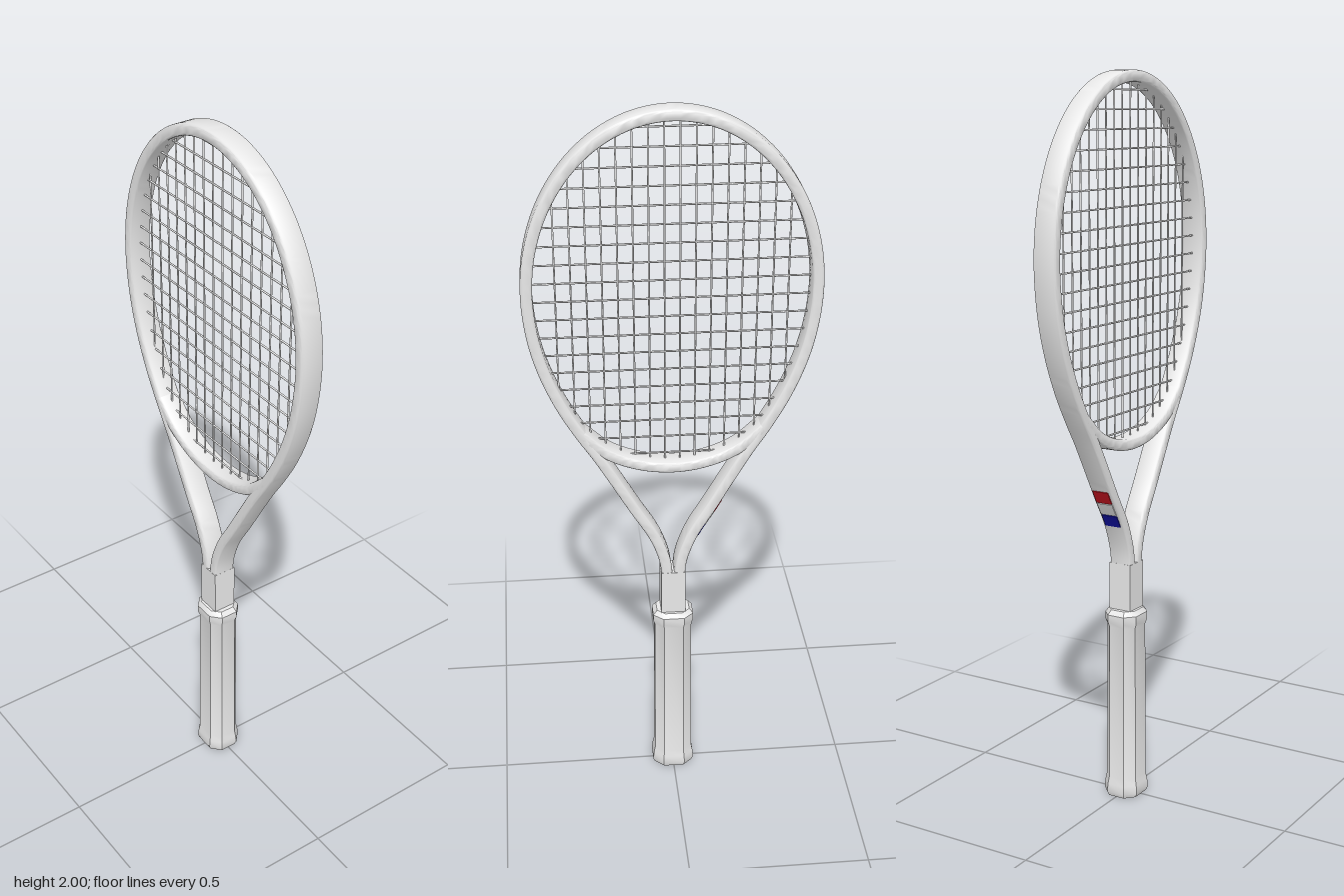
import * as THREE from 'three';
import { toCreasedNormals } from 'three/addons/utils/BufferGeometryUtils.js';

// Skin a list of equal-sized rings, with flat end caps
function loft(rings) {
  const n = rings[0].length, pos = [];
  const tri = (...pts) => pts.forEach((p) => pos.push(p.x, p.y, p.z));
  for (let i = 0; i < rings.length - 1; i++) {
    for (let j = 0; j < n; j++) {
      const k = (j + 1) % n, a = rings[i], b = rings[i + 1];
      tri(a[j], b[j], b[k]);
      tri(a[j], b[k], a[k]);
    }
  }
  const first = rings[0], last = rings[rings.length - 1];
  for (let j = 1; j < n - 1; j++) {
    tri(first[0], first[j], first[j + 1]);
    tri(last[0], last[j + 1], last[j]);
  }
  const geo = new THREE.BufferGeometry();
  geo.setAttribute('position', new THREE.Float32BufferAttribute(pos, 3));
  return toCreasedNormals(geo, 0.6);
}

// Sweep a section (x = in-plane offset, y = depth) along points in the XY plane
function sweep(points, section) {
  return loft(points.map((p, i) => {
    const a = points[Math.max(i - 1, 0)], b = points[Math.min(i + 1, points.length - 1)];
    const t = b.clone().sub(a).normalize();
    return section.map((s) => new THREE.Vector3(p.x + t.y * s.x, p.y - t.x * s.x, s.y));
  }));
}

function roundedSection(hw, hd, r) {
  const pts = [];
  [[1, 1], [-1, 1], [-1, -1], [1, -1]].forEach(([sx, sy], q) => {
    for (let i = 0; i <= 4; i++) {
      const a = (q + i / 4) * Math.PI / 2;
      pts.push(new THREE.Vector2(sx * (hw - r) + r * Math.cos(a), sy * (hd - r) + r * Math.sin(a)));
    }
  });
  return pts;
}

// Smooth curve through left-half points and their mirror images
function mirroredCurve(left, middle, count) {
  const right = left.map(([x, y]) => [-x, y]).reverse();
  const pts = [...left, ...middle, ...right].map(([x, y]) => new THREE.Vector3(x, y, 0));
  return new THREE.CatmullRomCurve3(pts).getSpacedPoints(count);
}

export function createModel() {
  const group = new THREE.Group();
  const grey = new THREE.MeshStandardMaterial({ name: 'pale grey', color: 0xe7e7e7 });
  const red = new THREE.MeshStandardMaterial({ name: 'red', color: 0xc81420 });
  const white = new THREE.MeshStandardMaterial({ name: 'white', color: 0xf8f8f8 });
  const blue = new THREE.MeshStandardMaterial({ name: 'blue', color: 0x1010a0 });
  const add = (name, geo, mat, parent = group) => {
    const mesh = new THREE.Mesh(geo, mat);
    mesh.name = name;
    parent.add(mesh);
    return mesh;
  };

  // Frame: both throat strands and the head hoop in one sweep
  const strand = [[-0.0175, 0.56], [-0.0175, 0.67], [-0.025, 0.725], [-0.053, 0.8], [-0.1, 0.88],
    [-0.198, 1.05], [-0.246, 1.125], [-0.294, 1.21], [-0.336, 1.31], [-0.362, 1.41]];
  const arch = [];
  for (let i = 0; i <= 12; i++) {
    const a = Math.PI * (1 - i / 12);
    arch.push([0.373 * Math.cos(a), 1.53 + 0.4545 * Math.sin(a)]);
  }
  const framePts = mirroredCurve(strand, arch, 200);
  const section = roundedSection(0.0155, 0.033, 0.009);
  add('frame', sweep(framePts, section), grey);

  // Bridge closing the bottom of the head
  const bridgePts = mirroredCurve([[-0.246, 1.125], [-0.175, 1.064], [-0.09, 1.028]], [[0, 1.016]], 50);
  add('bridge', sweep(bridgePts, section), grey);

  // Shaft joining the strands to the handle
  add('shaft', new THREE.BoxGeometry(0.068, 0.18, 0.0665), grey).position.y = 0.59;

  // Eight-sided handle with flared butt and collar: y, half width, half depth
  const handleRows = [[0, 0.055, 0.048], [0.012, 0.06, 0.053], [0.035, 0.058, 0.051], [0.055, 0.054, 0.047],
    [0.5, 0.052, 0.045], [0.515, 0.057, 0.05], [0.535, 0.057, 0.05], [0.548, 0.046, 0.041]];
  const octagon = [[1, -0.5], [1, 0.5], [0.52, 1], [-0.52, 1], [-1, 0.5], [-1, -0.5], [-0.52, -1], [0.52, -1]];
  add('handle', loft(handleRows.map(([y, w, d]) =>
    octagon.map(([x, z]) => new THREE.Vector3(x * w, y, z * d)))), grey);

  // Strings, clipped to the closed loop of hoop and bridge
  const loop = [...framePts.filter((p) => p.y > 1.126), ...bridgePts.slice().reverse()];
  const span = (axis, value) => {
    const other = axis === 'x' ? 'y' : 'x', hits = [];
    loop.forEach((p, i) => {
      const q = loop[(i + 1) % loop.length];
      if ((p[axis] > value) !== (q[axis] > value)) {
        hits.push(p[other] + (q[other] - p[other]) * (value - p[axis]) / (q[axis] - p[axis]));
      }
    });
    return [Math.min(...hits), Math.max(...hits)];
  };
  const strings = new THREE.Group();
  strings.name = 'strings';
  group.add(strings);
  const radius = 0.0026;
  for (let i = 0; i < 16; i++) {
    const x = -0.3 + i * 0.04, [lo, hi] = span('x', x);
    add('mainString', new THREE.CylinderGeometry(radius, radius, hi - lo, 6), grey, strings)
      .position.set(x, (lo + hi) / 2, 0);
  }
  for (let i = 0; i < 19; i++) {
    const y = 1.05 + i * 0.05, [lo, hi] = span('y', y);
    const cross = add('crossString', new THREE.CylinderGeometry(radius, radius, hi - lo, 6), grey, strings);
    cross.rotation.z = Math.PI / 2;
    cross.position.set((lo + hi) / 2, y, 0);
  }

  // Three-band stripe on the outer face of the right throat strand
  const plate = [[-0.018, -0.024], [-0.0145, -0.024], [-0.0145, 0.024], [-0.018, 0.024]]
    .map(([n, z]) => new THREE.Vector2(n, z));
  const curve = new THREE.CatmullRomCurve3(strand.map(([x, y]) => new THREE.Vector3(x, y, 0))).getSpacedPoints(300);
  [['blueBand', blue, 0.8], ['whiteBand', white, 0.838], ['redBand', red, 0.876]].forEach(([name, mat, y]) => {
    add(name, sweep(curve.filter((p) => p.y >= y && p.y <= y + 0.039), plate), mat);
  });

  return group;
}
